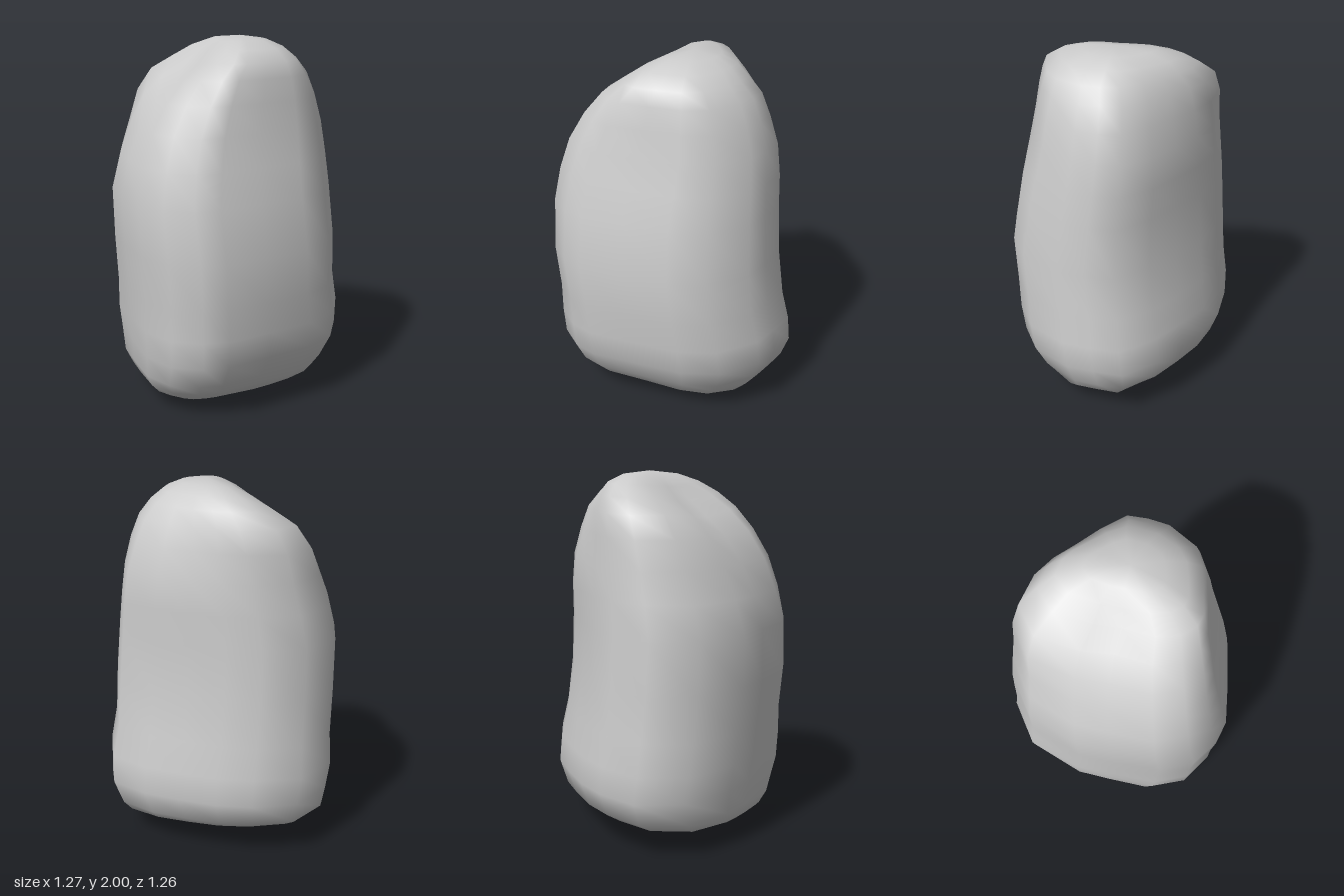
import * as THREE from 'three';
import { mergeVertices } from 'three/addons/utils/BufferGeometryUtils.js';

// Plan outline of the boulder (x, z), scaled to -1..1, clockwise from above
const PLAN = [
  [-0.5, -1], [-0.11, -0.97], [0.19, -0.86], [0.48, -0.68], [0.76, -0.48], [1, -0.19],
  [0.98, 0.08], [0.95, 0.33], [0.73, 0.68], [0.43, 0.85], [0, 0.94], [-0.39, 1], [-0.6, 0.95],
  [-0.83, 0.79], [-0.97, 0.5], [-1, 0.08], [-1, -0.25], [-0.85, -0.73],
];

// Levels: y, xMin, xMax, zMin, zMax
const LEVELS = [
  [0, -0.15, -0.15, 0.2, 0.2],
  [0.02, -0.36, 0.2, 0.08, 0.27],
  [0.06, -0.45, 0.37, -0.08, 0.34],
  [0.1, -0.52, 0.48, -0.24, 0.4],
  [0.13, -0.55, 0.53, -0.47, 0.44],
  [0.2, -0.58, 0.58, -0.58, 0.5],
  [0.33, -0.59, 0.63, -0.625, 0.57],
  [0.48, -0.605, 0.625, -0.615, 0.595],
  [0.65, -0.615, 0.59, -0.6, 0.61],
  [0.9, -0.635, 0.575, -0.585, 0.63],
  [1.18, -0.64, 0.555, -0.565, 0.58],
  [1.36, -0.59, 0.54, -0.55, 0.53],
  [1.53, -0.52, 0.52, -0.53, 0.48],
  [1.68, -0.44, 0.48, -0.51, 0.45],
  [1.8, -0.35, 0.43, -0.48, 0.42],
  [1.88, -0.24, 0.36, -0.41, 0.385],
  [1.94, -0.15, 0.29, -0.34, 0.3],
  [1.98, -0.06, 0.2, -0.22, 0.18],
  [2, 0.06, 0.06, 0, 0],
];

// Swellings (or hollows) of the corners: side in x and z, height, spread, amount
const SWELLS = [
  { sx: -1, sz: 1, y: 0.3, spread: 0.25, amount: 0.05 },
  { sx: -1, sz: 1, y: 1.55, spread: 0.25, amount: 0.07 },
  { sx: -1, sz: -1, y: 0.48, spread: 0.15, amount: 0.03 },
  { sx: -1, sz: -1, y: 1.78, spread: 0.2, amount: 0.1 },
  { sx: 1, sz: -1, y: 1.05, spread: 0.3, amount: -0.06 },
  { sx: 1, sz: -1, y: 1.8, spread: 0.25, amount: -0.14 },
];

function boulderGeometry() {
  const n = PLAN.length;
  const positions = [];
  const index = [];
  const p = new THREE.Vector3();
  const hollow = new THREE.Vector3(-0.26, 1.8, -0.03);
  const inward = new THREE.Vector3(0.7, -0.7, 0);

  LEVELS.forEach(([y, x0, x1, z0, z1], j) => {
    PLAN.forEach(([u, v], i) => {
      p.set(THREE.MathUtils.lerp(x0, x1, (u + 1) / 2), y, THREE.MathUtils.lerp(z0, z1, (v + 1) / 2));
      // Push each corner along its diagonal, in proportion to the level's width
      for (const s of SWELLS) {
        const weight = Math.max(0, u * s.sx) * Math.max(0, v * s.sz) * (x1 - x0);
        const push = s.amount * weight * Math.exp(-(((y - s.y) / s.spread) ** 2)) * Math.SQRT1_2;
        p.x += s.sx * push;
        p.z += s.sz * push;
      }
      // Shallow hollow worn into the sloping shoulder
      p.addScaledVector(inward, 0.07 * Math.exp(-p.distanceToSquared(hollow) / 0.04));
      positions.push(p.x, p.y, p.z);

      // Quads between levels, single triangles at the two poles
      const a = j * n + i;
      const b = j * n + ((i + 1) % n);
      if (j < LEVELS.length - 2) index.push(a, a + n, b + n);
      if (j > 0 && j < LEVELS.length - 1) index.push(a, b + n, b);
    });
  });

  const geometry = new THREE.BufferGeometry();
  geometry.setAttribute('position', new THREE.Float32BufferAttribute(positions, 3));
  geometry.setIndex(index);
  // Join the coincident points at the poles for smooth normals
  const merged = mergeVertices(geometry, 1e-4);
  merged.computeVertexNormals();
  return merged;
}

export function createModel() {
  const group = new THREE.Group();
  group.name = 'rock';
  const boulder = new THREE.Mesh(boulderGeometry(), new THREE.MeshStandardMaterial({ color: 0xcccccc }));
  boulder.name = 'boulder';
  group.add(boulder);
  return group;
}
